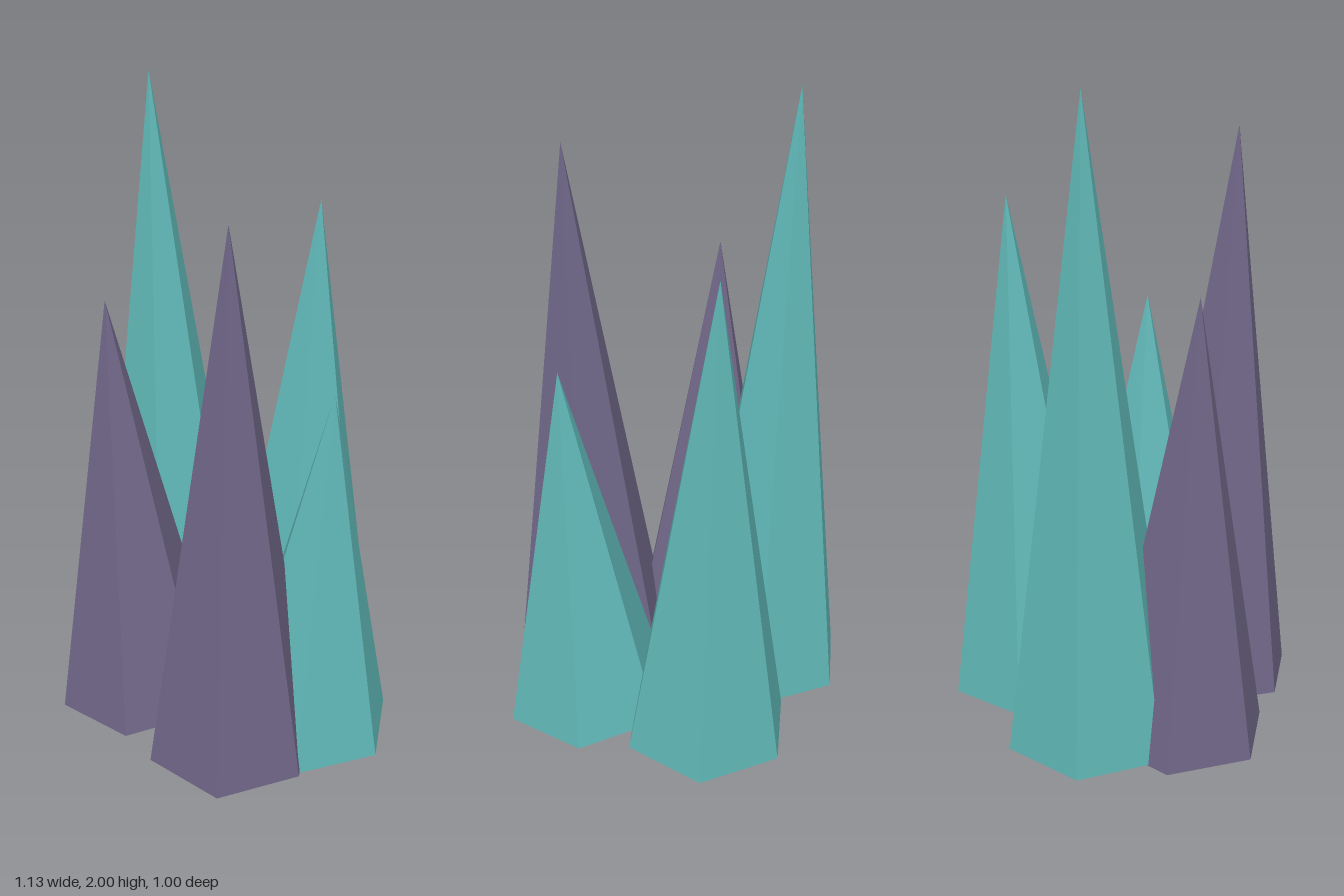
import * as THREE from 'three';

const RADIUS = 0.268;
const BASE_Y = 0.016;

export function createModel() {
  const group = new THREE.Group();
  group.name = 'crystalCluster';

  const teal = new THREE.MeshStandardMaterial({ color: 0x5fb5b5, flatShading: true });
  teal.name = 'teal';
  const purple = new THREE.MeshStandardMaterial({ color: 0x6e6586, flatShading: true });
  purple.name = 'dusky purple';

  // Six-sided spike standing on its base centre and leaning towards its tip
  function addSpike(name, material, [baseX, baseZ], tip) {
    const base = new THREE.Vector3(baseX, BASE_Y, baseZ);
    const axis = new THREE.Vector3(...tip).sub(base);
    const height = axis.length();
    const geometry = new THREE.ConeGeometry(RADIUS, height, 6);
    geometry.rotateY(Math.PI / 6); // corners point along x
    geometry.translate(0, height / 2, 0);
    const spike = new THREE.Mesh(geometry, material);
    spike.name = name;
    spike.position.copy(base);
    spike.quaternion.setFromUnitVectors(new THREE.Vector3(0, 1, 0), axis.normalize());
    group.add(spike);
  }

  // Ring of five spikes, each leaning slightly outwards
  addSpike('leftSpike', teal, [0.298, 0.029], [0.37, 1.216, 0.029]);
  addSpike('frontLeftSpike', purple, [0.179, 0.267], [0.223, 1.8, 0.325]);
  addSpike('frontRightSpike', purple, [-0.224, 0.232], [-0.279, 1.41, 0.281]);
  addSpike('rightSpike', teal, [-0.3, -0.025], [-0.372, 2, -0.037]);
  addSpike('backSpike', teal, [0.022, -0.271], [0.03, 1.606, -0.345]);

  return group;
}
